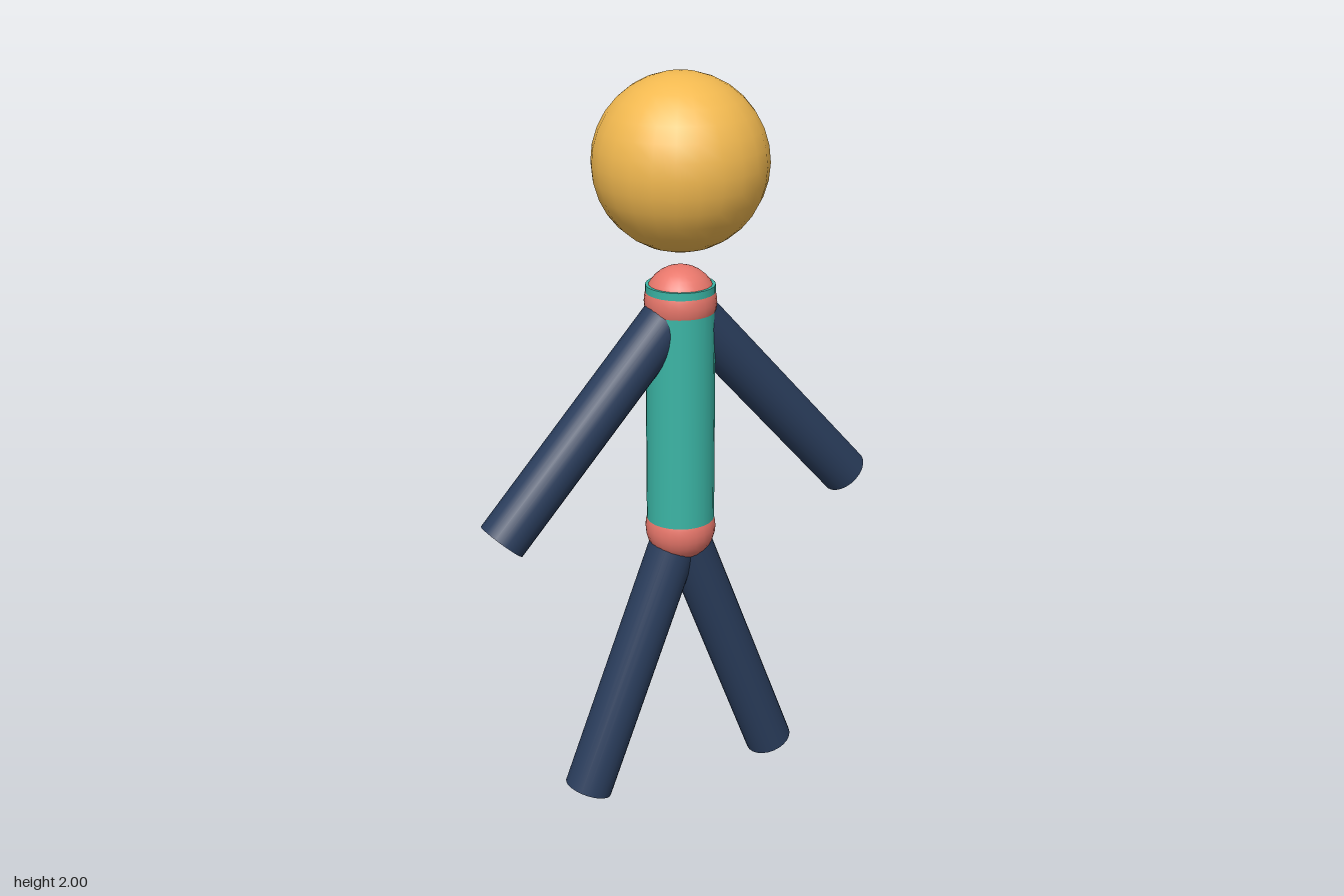
import * as THREE from 'three';

const material = (color) => new THREE.MeshStandardMaterial({ color });

export function createModel() {
  const model = new THREE.Group();
  const skin = material(0xf2b950);
  const cloth = material(0x3bb5a5);
  const joint = material(0xe8776b);
  const limbs = material(0x2a3d5c);

  const ball = (name, radius, y, mat) => {
    const mesh = new THREE.Mesh(new THREE.SphereGeometry(radius, 24, 16), mat);
    mesh.name = name;
    mesh.position.y = y;
    model.add(mesh);
  };

  // Closed cylinder running between two points
  const rod = (name, radius, from, to, mat) => {
    const axis = new THREE.Vector3().subVectors(from, to);
    const mesh = new THREE.Mesh(new THREE.CylinderGeometry(radius, radius, axis.length(), 24), mat);
    mesh.name = name;
    mesh.position.addVectors(from, to).multiplyScalar(0.5);
    mesh.quaternion.setFromUnitVectors(new THREE.Vector3(0, 1, 0), axis.normalize());
    model.add(mesh);
  };

  const neckY = 1.409, hipY = 0.773;
  const point = (x, y) => new THREE.Vector3(x, y, 0);

  // Floating head and the torso with its two ball joints
  ball('head', 0.2273, 1.7727, skin);
  rod('torso', 0.0915, point(0, 1.455), point(0, hipY), cloth);
  ball('shoulderJoint', 0.0955, neckY, joint);
  ball('hipJoint', 0.0955, hipY, joint);

  // Limbs spread out from the joints
  for (const [side, s] of [['left', 1], ['right', -1]]) {
    rod(side + 'Arm', 0.0665, point(0, neckY), point(s * 0.521, 0.832), limbs);
    rod(side + 'Leg', 0.0665, point(0, hipY), point(s * 0.291, 0.024), limbs);
  }
  return model;
}
